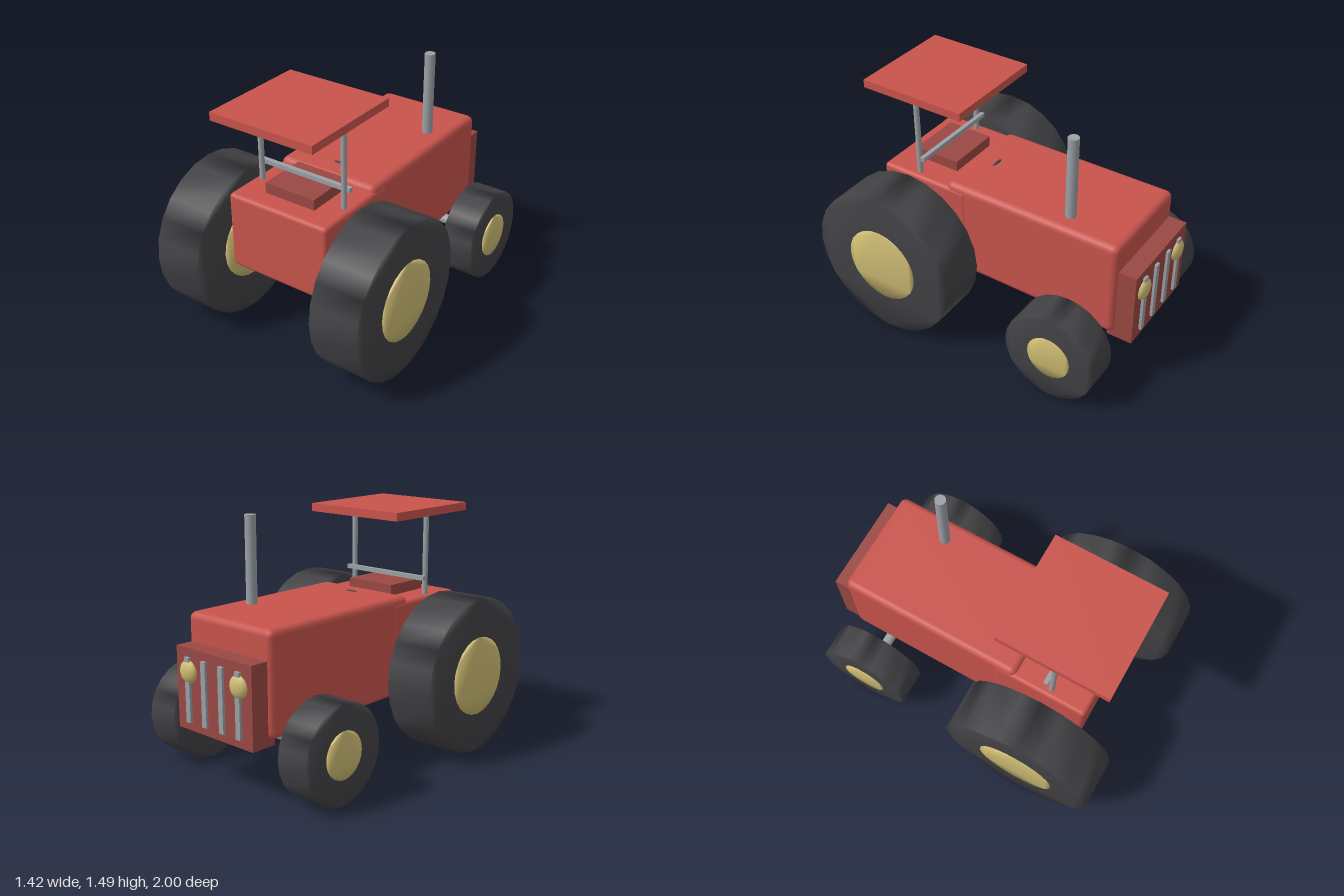
import * as THREE from 'three';
import { mergeVertices } from 'three/addons/utils/BufferGeometryUtils.js';
import { RoundedBoxGeometry } from 'three/addons/geometries/RoundedBoxGeometry.js';

const paint = (name, color) => {
  const m = new THREE.MeshStandardMaterial({ color });
  m.name = name;
  return m;
};

// Disc along x with normals shared between rim and faces, for a soft look
function softDisc(radius, width, sides = 24) {
  const points = [];
  for (let i = 0; i < sides; i++) {
    const a = (i / sides) * Math.PI * 2;
    points.push(new THREE.Vector2(Math.cos(a) * radius, Math.sin(a) * radius));
  }
  let geo = new THREE.ExtrudeGeometry(new THREE.Shape(points), { depth: width, bevelEnabled: false });
  geo.translate(0, 0, -width / 2).rotateY(Math.PI / 2);
  geo.deleteAttribute('normal');
  geo.deleteAttribute('uv');
  geo = mergeVertices(geo);
  geo.computeVertexNormals();
  return geo;
}

export function createModel() {
  const model = new THREE.Group();
  model.name = 'tractor';

  const red = paint('red paint', 0xc8544c);
  const darkRed = paint('dark red paint', 0x9a4843);
  const rubber = paint('tyre rubber', 0x424245);
  const gold = paint('pale gold', 0xcfbd74);
  const steel = paint('grey steel', 0x9ba1a6);

  const add = (name, geo, mat, x, y, z, parent = model) => {
    const mesh = new THREE.Mesh(geo, mat);
    mesh.name = name;
    mesh.position.set(x, y, z);
    parent.add(mesh);
    return mesh;
  };
  const box = (w, h, d) => new THREE.BoxGeometry(w, h, d);
  const rod = (r, h) => new THREE.CylinderGeometry(r, r, h, 16);

  // Body
  add('hood', new RoundedBoxGeometry(0.67, 0.615, 1.155, 2, 0.04), red, 0, 0.6625, -0.2775);
  add('rearBody', new RoundedBoxGeometry(0.68, 0.48, 0.6, 2, 0.025), red, 0, 0.697, 0.46);
  add('grilleHousing', box(0.61, 0.48, 0.16), darkRed, 0, 0.56, -0.886);
  add('seat', box(0.34, 0.1, 0.3), darkRed, 0, 0.953, 0.485);

  // Steering wheel rim, sunk into the hood
  const steering = add('steeringWheel', new THREE.TorusGeometry(0.12, 0.015, 8, 24), rubber, 0, 0.85, 0.2);
  steering.rotation.x = -0.35;

  // Canopy and exhaust
  add('roof', box(0.68, 0.05, 0.69), red, 0, 1.455, 0.515);
  add('crossBar', box(0.62, 0.027, 0.027), steel, 0, 1.042, 0.485);
  add('exhaust', rod(0.033, 0.59), steel, 0.205, 1.195, -0.482);
  add('frontAxle', rod(0.033, 0.95), steel, 0, 0.295, -0.62).rotation.z = Math.PI / 2;

  // Grille bars
  for (const x of [-0.205, -0.07, 0.07, 0.205]) {
    add('grilleBar', box(0.036, 0.38, 0.03), steel, x, 0.56, -0.967);
  }

  // Mirrored parts
  for (const side of [-1, 1]) {
    add('roofPost', rod(0.017, 0.52), steel, side * 0.288, 1.16, 0.52);

    const lamp = add('headlight', new THREE.SphereGeometry(0.067, 16, 10), gold, side * 0.205, 0.665, -0.965);
    lamp.scale.z = 0.52;

    const wheels = [
      { name: 'rearWheel', r: 0.48, w: 0.307, hub: 0.241, hubW: 0.321, x: 0.551, y: 0.49, z: 0.52 },
      { name: 'frontWheel', r: 0.292, w: 0.205, hub: 0.138, hubW: 0.22, x: 0.537, y: 0.295, z: -0.62 },
    ];
    for (const k of wheels) {
      const wheel = new THREE.Group();
      wheel.name = k.name;
      wheel.position.set(side * k.x, k.y, k.z);
      model.add(wheel);
      add('tyre', softDisc(k.r, k.w), rubber, 0, 0, 0, wheel);
      add('hub', softDisc(k.hub, k.hubW), gold, 0, 0, 0, wheel);
    }
  }
  return model;
}
